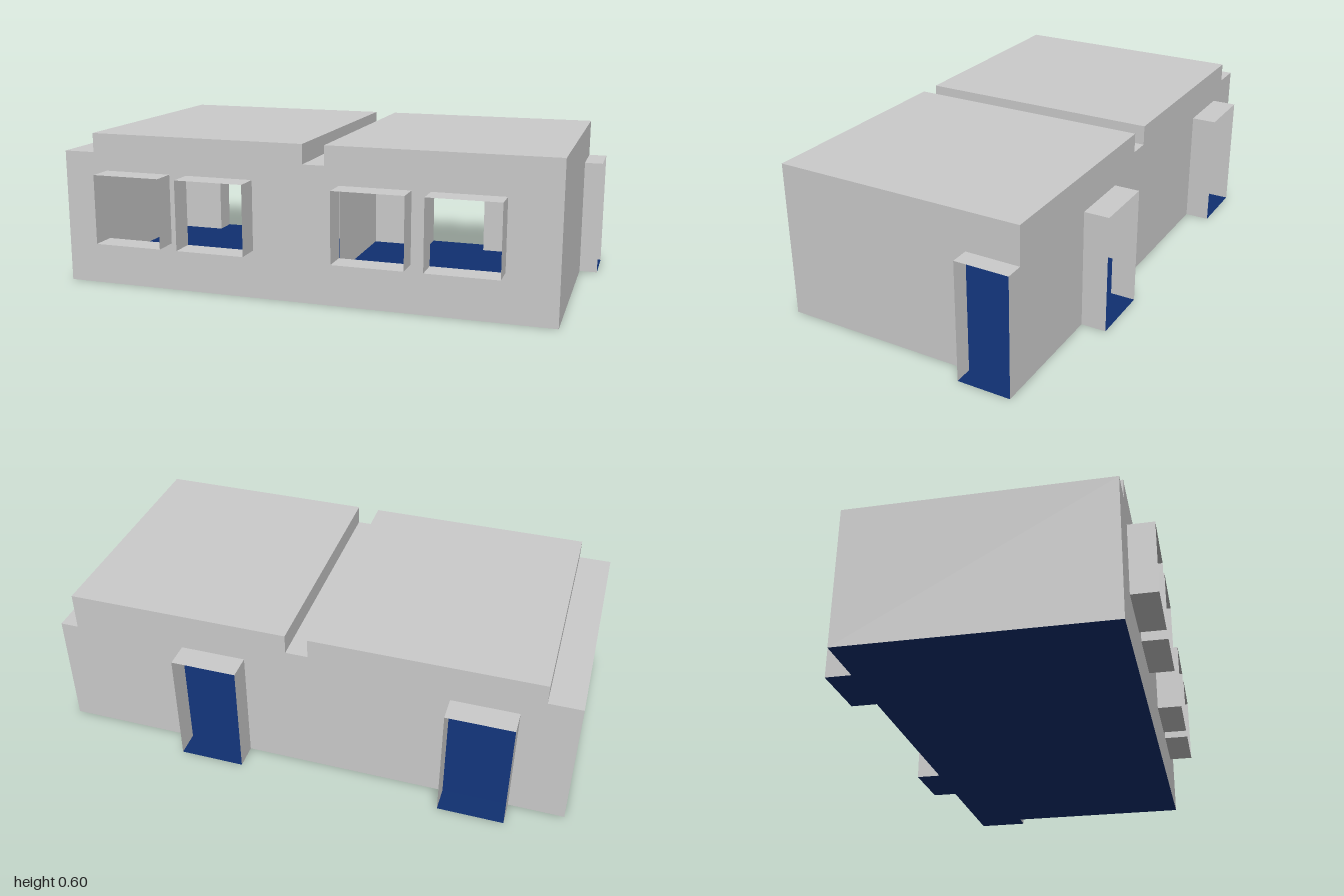
import * as THREE from 'three';

const wallMat = new THREE.MeshStandardMaterial({ color: 0xcccccc, side: THREE.DoubleSide, flatShading: true });
const floorMat = new THREE.MeshStandardMaterial({ color: 0x103070, side: THREE.DoubleSide, flatShading: true });

// Main dimensions
const X0 = -1, X1 = 0.93, Z = 0.477, ZW = 0.573;
const EAVE = 0.525, ROOF = 0.6, SILL = 0.185, HEAD = 0.455, MID = -0.01;
const SIDE_DOOR = -0.275;
const windows = [[-0.82, -0.55], [-0.48, -0.21], [0.13, 0.4], [0.47, 0.74]];
const doors = [[-0.79, -0.54], [0.24, 0.49]];

const rect = (a, b, c, d) => [[a, b], [c, b], [c, d], [a, d]];
const toPoints = (list) => list.map(([a, b]) => new THREE.Vector2(a, b));

// Thin panel: outline in (x, y) at a z, in (z, y) at an x, or in (x, z) at a y
function panel(name, facing, at, outline, holes = [], mat = wallMat) {
  const shape = new THREE.Shape(toPoints(outline));
  for (const h of holes) shape.holes.push(new THREE.Path(toPoints(h)));
  const geo = new THREE.ShapeGeometry(shape);
  if (facing === 'x') geo.rotateY(-Math.PI / 2).translate(at, 0, 0);
  else if (facing === 'y') geo.rotateX(Math.PI / 2).translate(0, at, 0);
  else geo.translate(0, 0, at);
  const mesh = new THREE.Mesh(geo, mat);
  mesh.name = name;
  return mesh;
}

// Open-ended frame standing out from a wall along z
function frame(name, [a, b], low, z0, z1, hasSill) {
  const g = new THREE.Group();
  g.name = name;
  for (const x of [a, b]) g.add(panel('jamb', 'x', x, rect(z0, low, z1, HEAD)));
  g.add(panel('head', 'y', HEAD, rect(a, z0, b, z1)));
  if (hasSill) g.add(panel('sill', 'y', low, rect(a, z0, b, z1)));
  return g;
}

export function createModel() {
  const model = new THREE.Group();
  model.name = 'building';

  // Stepped roof line shared by the front wall, back wall and roof
  const roofLine = [
    [X0, EAVE], [-0.875, EAVE], [-0.875, ROOF], [MID, ROOF],
    [MID, EAVE], [0.075, EAVE], [0.075, ROOF], [X1, ROOF],
  ];
  const roofDown = [...roofLine].reverse();

  // Front wall with window openings
  model.add(panel('frontWall', 'z', Z, [[X0, 0], [X1, 0], ...roofDown],
    windows.map(([a, b]) => rect(a, SILL, b, HEAD))));

  // Back wall with door openings cut from the bottom edge
  const doorCuts = doors.flatMap(([a, b]) => [[a, 0], [a, HEAD], [b, HEAD], [b, 0]]);
  model.add(panel('backWall', 'z', -Z, [[X0, 0], ...doorCuts, [X1, 0], ...roofDown]));

  // Side walls; the left one has a door at its back corner
  model.add(panel('rightWall', 'x', X0, rect(-Z, 0, Z, EAVE)));
  model.add(panel('leftWall', 'x', X1,
    [[SIDE_DOOR, 0], [Z, 0], [Z, ROOF], [-Z, ROOF], [-Z, HEAD], [SIDE_DOOR, HEAD]]));

  // Inner wall between the two units, with a wide passage
  model.add(panel('partition', 'x', MID,
    [[-Z, 0], [0.05, 0], [0.05, HEAD], [Z, HEAD], [Z, EAVE], [-Z, EAVE]]));

  // Roof strips and the risers between them
  for (let i = 0; i < roofLine.length - 1; i++) {
    const [xa, ya] = roofLine[i], [xb, yb] = roofLine[i + 1];
    if (ya === yb) model.add(panel('roof', 'y', ya, rect(xa, -Z, xb, Z)));
    else model.add(panel('roofStep', 'x', xa, rect(-Z, EAVE, Z, ROOF)));
  }

  // Window and door frames
  for (const w of windows) model.add(frame('windowFrame', w, SILL, Z, ZW, true));
  for (const d of doors) model.add(frame('doorFrame', d, 0, -ZW, -Z, false));
  const side = new THREE.Group();
  side.name = 'sideDoorFrame';
  for (const z of [-Z, SIDE_DOOR]) side.add(panel('jamb', 'z', z, rect(X1, 0, 1, HEAD)));
  side.add(panel('head', 'y', HEAD, rect(X1, -Z, 1, SIDE_DOOR)));
  model.add(side);

  // Floor with a threshold at each door
  const thresholds = doors.flatMap(([a, b]) => [[a, -Z], [a, -ZW], [b, -ZW], [b, -Z]]);
  model.add(panel('floor', 'y', 0,
    [[X0, -Z], ...thresholds, [1, -Z], [1, SIDE_DOOR], [X1, SIDE_DOOR], [X1, Z], [X0, Z]], [], floorMat));

  return model;
}
